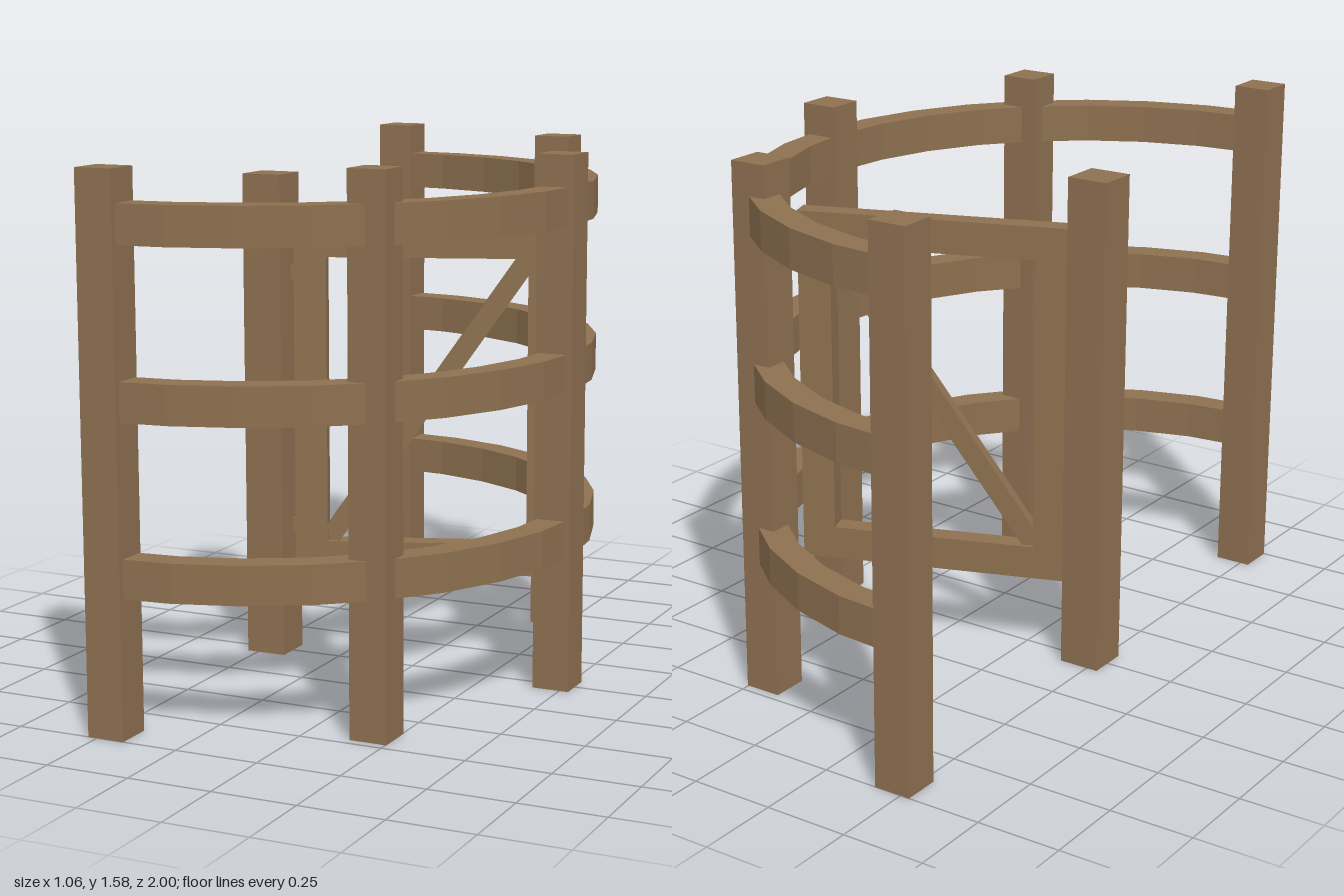
import * as THREE from 'three';

const wood = new THREE.MeshStandardMaterial({ color: 0x8d7050, flatShading: true });
wood.name = 'brown wood';

function box(parent, name, w, h, d, x, y, z) {
  const mesh = new THREE.Mesh(new THREE.BoxGeometry(w, h, d), wood);
  mesh.name = name;
  mesh.position.set(x, y, z);
  parent.add(mesh);
  return mesh;
}

// Half ring of straight-sided segments, extruded upwards
function railGeometry(inner, outer, height, segments) {
  const points = [];
  const arc = (r, i) => {
    const a = -Math.PI / 2 + (Math.PI * i) / segments;
    points.push(new THREE.Vector2(r * Math.cos(a), r * Math.sin(a)));
  };
  for (let i = 0; i <= segments; i++) arc(outer, i);
  for (let i = segments; i >= 0; i--) arc(inner, i);
  const geometry = new THREE.ExtrudeGeometry(new THREE.Shape(points), { depth: height, bevelEnabled: false });
  return geometry.rotateX(-Math.PI / 2);
}

export function createModel() {
  const model = new THREE.Group();
  model.name = 'kissingGate';

  // Fence posts around the half circle
  const posts = [[-0.472, 0.944], [0.197, 0.667], [0.472, 0], [0.197, -0.667], [-0.472, -0.944]];
  for (const [x, z] of posts) box(model, 'fencePost', 0.112, 1.575, 0.112, x, 0.7875, z);

  // Shorter, thicker post that carries the gate
  box(model, 'hingePost', 0.125, 1.485, 0.125, -0.472, 0.7425, 0);

  // Curved rails
  const rail = railGeometry(0.9, 0.985, 0.112, 16);
  for (const y of [0.4, 0.89, 1.37]) {
    const mesh = new THREE.Mesh(rail, wood);
    mesh.name = 'curvedRail';
    mesh.position.set(-0.47, y, 0);
    model.add(mesh);
  }

  // Gate swung open about the hinge post
  const gate = new THREE.Group();
  gate.name = 'gate';
  gate.position.set(-0.47, 0, 0);
  gate.rotation.y = THREE.MathUtils.degToRad(20);
  model.add(gate);

  const left = 0.07, right = 0.879, bottom = 0.255, top = 1.333, bar = 0.099, thick = 0.064;
  const midX = (left + right) / 2, midY = (bottom + top) / 2;
  for (const x of [left + bar / 2, right - bar / 2]) {
    box(gate, 'gateStile', bar, top - bottom, thick, x, midY, 0);
  }
  const spanX = right - left - 2 * bar, spanY = top - bottom - 2 * bar;
  for (const y of [bottom + bar / 2, top - bar / 2]) {
    box(gate, 'gateRail', spanX, bar, thick, midX, y, 0);
  }

  // Diagonal brace across the opening
  const brace = box(gate, 'gateBrace', Math.hypot(spanX, spanY) + 0.04, 0.06, 0.04, midX, midY, 0);
  brace.rotation.z = Math.atan2(spanY, spanX);

  // Small hinges between post and gate
  for (const y of [0.4, 1.185]) box(gate, 'hinge', 0.05, 0.045, 0.03, 0.06, y, 0);

  return model;
}
